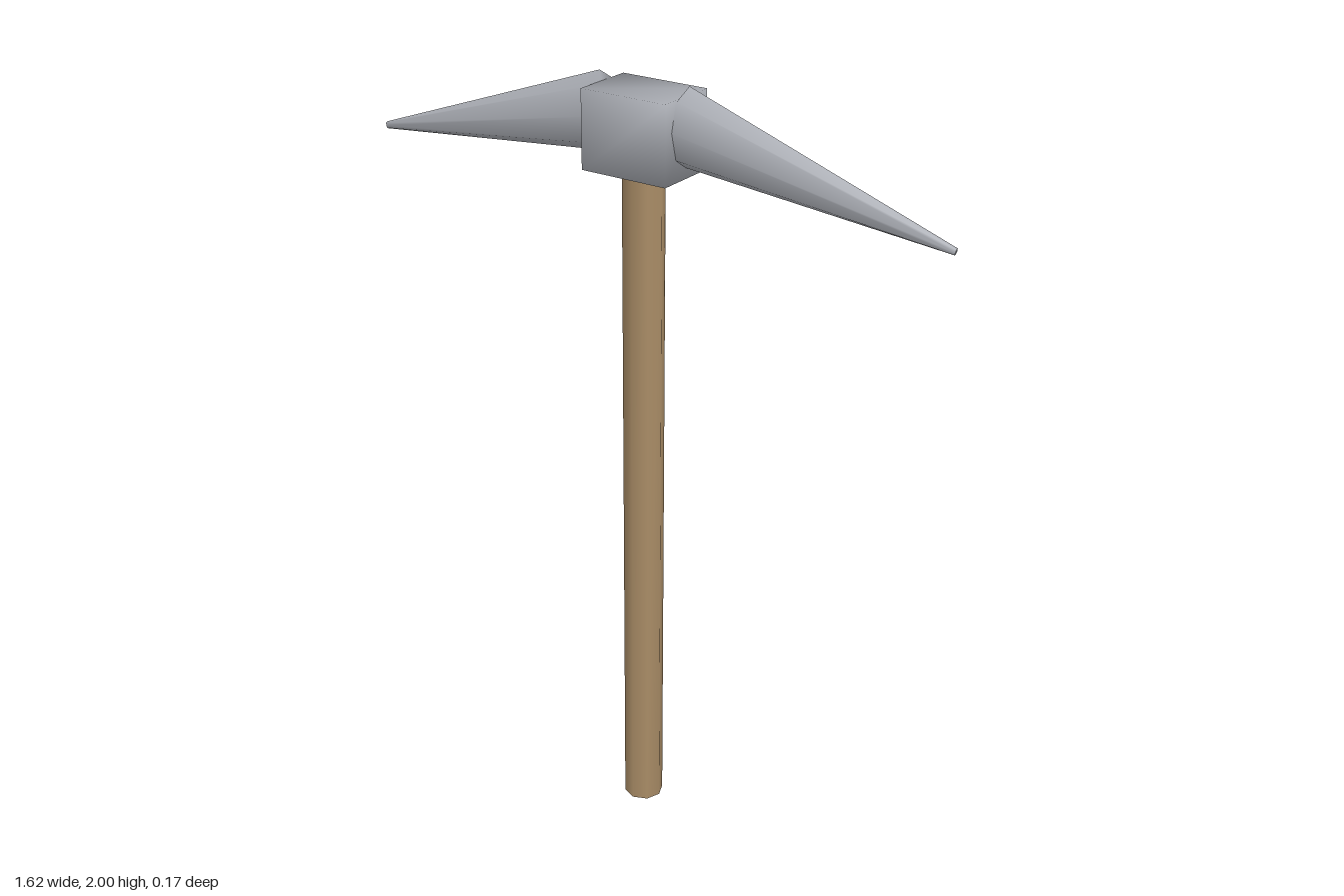
import * as THREE from 'three';
import { mergeVertices } from 'three/addons/utils/BufferGeometryUtils.js';

// Shares every corner so that shading runs softly over the edges.
function soften(geometry) {
  geometry.deleteAttribute('uv');
  geometry.deleteAttribute('normal');
  const merged = mergeVertices(geometry, 1e-4);
  merged.computeVertexNormals();
  return merged;
}

export function createModel() {
  const model = new THREE.Group();
  model.name = 'pickaxe';

  const wood = new THREE.MeshStandardMaterial({ color: 0xa98c66 });
  wood.name = 'wood';
  const steel = new THREE.MeshStandardMaterial({ color: 0xabaeb5 });
  steel.name = 'steel';

  const add = (name, geometry, material) => {
    const mesh = new THREE.Mesh(soften(geometry), material);
    mesh.name = name;
    model.add(mesh);
    return mesh;
  };

  // Octagonal handle, running up into the head
  add('handle', new THREE.CylinderGeometry(0.052, 0.052, 1.88, 8).translate(0, 0.94, 0), wood);

  // Block that holds the handle
  add('headBlock', new THREE.BoxGeometry(0.236, 0.193, 0.167).translate(0, 1.88, 0), steel);

  // Tapered oval spikes, drooping outwards from the block
  for (const side of [1, -1]) {
    const base = new THREE.Vector3(side * 0.105, 1.907, 0);
    const tip = new THREE.Vector3(side * 0.807, 1.754, 0);
    const axis = tip.clone().sub(base);
    const spike = new THREE.CylinderGeometry(0.009, 0.096, axis.length(), 8);
    spike.scale(1, 1, 0.62);
    spike.applyQuaternion(
      new THREE.Quaternion().setFromUnitVectors(new THREE.Vector3(0, 1, 0), axis.normalize()),
    );
    const middle = base.add(tip).multiplyScalar(0.5);
    spike.translate(middle.x, middle.y, 0);
    add(side > 0 ? 'leftSpike' : 'rightSpike', spike, steel);
  }

  return model;
}
